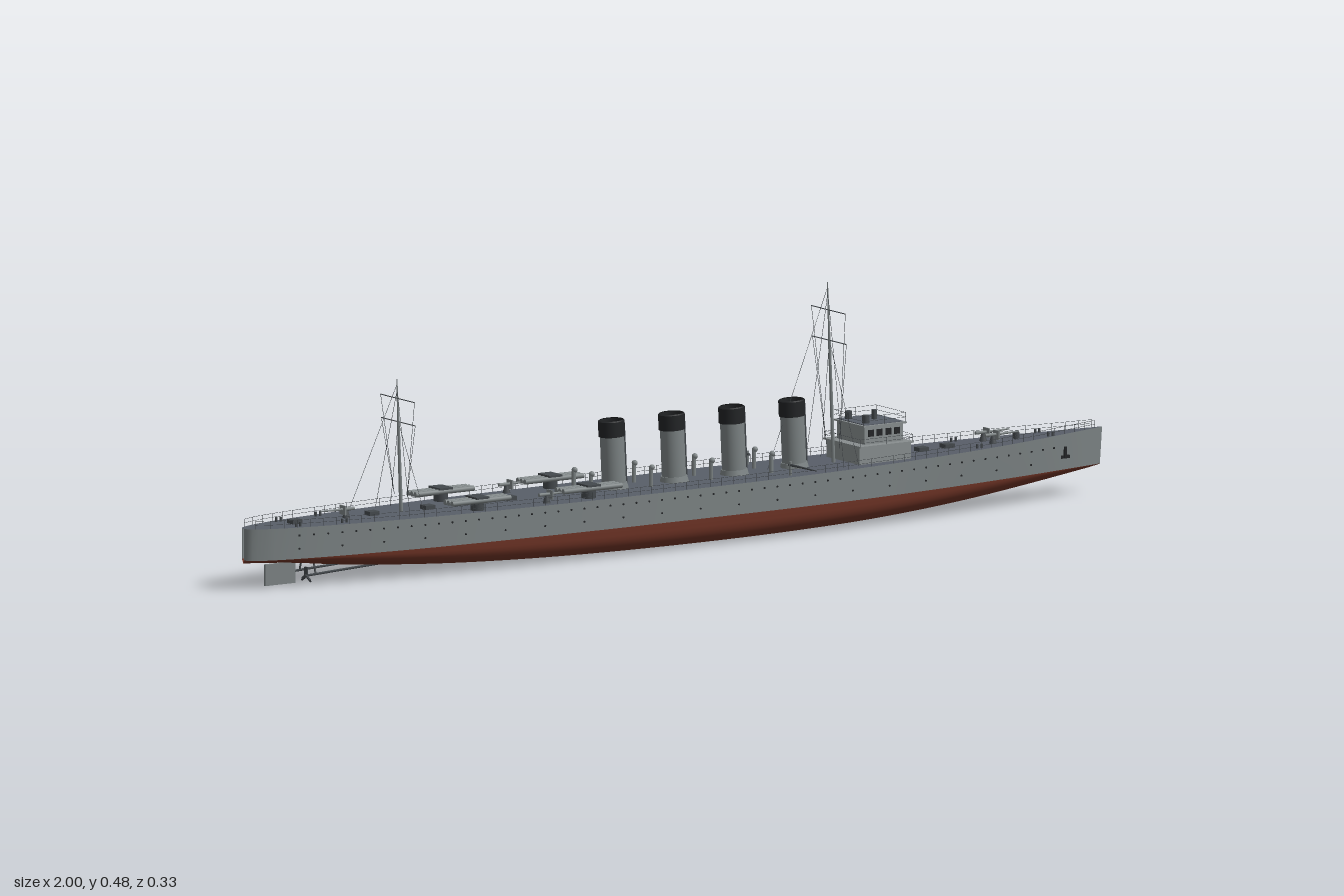
import * as THREE from 'three';
import { mergeGeometries } from 'three/addons/utils/BufferGeometryUtils.js';

const mat = (name, color, side = THREE.FrontSide) => {
  const m = new THREE.MeshStandardMaterial({ color, side });
  m.name = name;
  return m;
};

export function createModel() {
  const ship = new THREE.Group();
  ship.name = 'ship';
  const grey = mat('hullGrey', 0x7b8283, THREE.DoubleSide);
  const red = mat('bottomRed', 0x6e3325, THREE.DoubleSide);
  const deckMat = mat('deckGrey', 0x585e68, THREE.DoubleSide);
  const light = mat('upperGrey', 0x888e8f);
  const dark = mat('darkSteel', 0x44494d);
  const black = mat('black', 0x222426, THREE.DoubleSide);
  const V = (x, y, z) => new THREE.Vector3(x, y, z);

  const add = (name, geo, material, parent = ship) => {
    const m = new THREE.Mesh(Array.isArray(geo) ? mergeGeometries(geo) : geo, material);
    m.name = name;
    parent.add(m);
    return m;
  };
  const box = (w, h, d, x, y, z) => new THREE.BoxGeometry(w, h, d).translate(x, y, z);
  const cyl = (r, h, x, y, z, n = 12) => new THREE.CylinderGeometry(r, r, h, n).translate(x, y, z);
  // Round bar between two points, optionally tapered
  const rod = (a, b, r, r2 = r, n = 5) => {
    const d = b.clone().sub(a);
    const g = new THREE.CylinderGeometry(r2, r, d.length(), n);
    g.applyQuaternion(new THREE.Quaternion().setFromUnitVectors(V(0, 1, 0), d.normalize()));
    return g.translate((a.x + b.x) / 2, (a.y + b.y) / 2, (a.z + b.z) / 2);
  };

  // Hull lines along the length
  const curve = (pts) => {
    const c = new THREE.CubicInterpolant(pts.map(p => p[0]), pts.map(p => p[1]), 1, new Float32Array(1));
    return (x) => c.evaluate(x)[0];
  };
  const halfBeam = curve([[-1, 0.002], [-0.995, 0.012], [-0.98, 0.022], [-0.95, 0.034], [-0.9, 0.046], [-0.8, 0.062],
    [-0.6, 0.083], [-0.4, 0.093], [-0.2, 0.0975], [0, 0.0975], [0.2, 0.095], [0.4, 0.087], [0.6, 0.07], [0.8, 0.042], [0.9, 0.022], [1, 0.001]]);
  const keel = curve([[-1, 0.052], [-0.9, 0.045], [-0.8, 0.033], [-0.65, 0.02], [-0.5, 0.011], [-0.3, 0.004], [0, 0],
    [0.3, 0.002], [0.5, 0.008], [0.7, 0.021], [0.85, 0.037], [1, 0.057]]);
  const deckY = curve([[-1, 0.12], [-0.5, 0.118], [0, 0.118], [0.4, 0.12], [0.7, 0.124], [1, 0.13]]);
  const WL = 0.058;
  const flare = (x, y) => halfBeam(x) * (1 - 0.25 * Math.max(0, x - 0.4) * Math.max(0, (0.12 - y) / 0.06));

  const xs = [-1, -0.9975, -0.995, -0.99, -0.98, -0.965];
  for (let i = 0; i <= 56; i++) xs.push(-0.95 + 1.95 * i / 56);

  // Skin stretched over cross-sections given as [y, z] points
  const loft = (section) => {
    const pos = [], idx = [];
    let n = 0;
    xs.forEach((x, i) => {
      const ring = section(x);
      n = ring.length;
      ring.forEach(([y, z]) => pos.push(x - (x > 0.99 ? 0.07 * (0.13 - y) : 0), y, z));
      if (i) for (let j = 0; j < n - 1; j++) {
        const a = (i - 1) * n + j, b = i * n + j;
        idx.push(a, a + 1, b, b, a + 1, b + 1);
      }
    });
    const g = new THREE.BufferGeometry();
    g.setAttribute('position', new THREE.Float32BufferAttribute(pos, 3));
    g.setIndex(idx);
    g.computeVertexNormals();
    return g;
  };

  add('underwaterHull', loft(x => {
    const w = flare(x, WL), k = Math.min(keel(x), WL - 0.001), full = Math.min(1, halfBeam(x) / 0.0975);
    const e = 2 / (1.3 + 1.9 * full * full), ring = [];
    for (let j = 0; j <= 24; j++) {
      const a = Math.PI * j / 24, c = Math.cos(a);
      ring.push([WL - (WL - k) * Math.pow(Math.max(0, Math.sin(a)), e), w * Math.sign(c) * Math.pow(Math.abs(c), e)]);
    }
    return ring;
  }), red);
  const heights = [1, 0.5, 0];
  const sideAt = (x, t) => { const y = WL + (deckY(x) - WL) * t; return [y, flare(x, y)]; };
  add('portSide', loft(x => heights.map(t => sideAt(x, t))), grey);
  add('starboardSide', loft(x => heights.map(t => { const [y, w] = sideAt(x, t); return [y, -w]; }).reverse()), grey);
  add('deck', loft(x => [[deckY(x), -halfBeam(x)], [deckY(x), halfBeam(x)]]), deckMat);

  // Portholes and anchors
  const ports = [], anchors = [];
  for (const s of [-1, 1]) {
    for (let i = 0; i < 60; i++) {
      const x = -0.9 + i * 0.03;
      for (const y of i % 3 ? [0.104] : [0.104, 0.078])
        ports.push(new THREE.CylinderGeometry(0.002, 0.002, 0.003, 8).rotateX(Math.PI / 2).translate(x, y, s * flare(x, y)));
    }
    anchors.push(box(0.006, 0.022, 0.006, 0.9, 0.092, s * flare(0.9, 0.09)), box(0.02, 0.006, 0.006, 0.9, 0.083, s * flare(0.9, 0.08)));
  }
  add('portholes', ports, black);
  add('anchors', anchors, black);

  // Rudder, shafts and propellers
  add('rudder', box(0.07, 0.042, 0.006, -0.915, 0.024, 0), grey);
  const shafts = [], blades = [];
  for (const z of [-0.028, 0.028]) {
    shafts.push(rod(V(-0.875, 0.02, z), V(-0.7, 0.028, z), 0.0025), rod(V(-0.85, 0.021, z), V(-0.85, 0.048, z * 0.7), 0.002));
    for (let k = 0; k < 3; k++)
      blades.push(box(0.003, 0.016, 0.007, 0, 0.009, 0).rotateY(0.5).rotateX(k * 2.0944).translate(-0.872, 0.02, z));
  }
  add('shafts', shafts, dark);
  add('propellers', blades, dark);

  // Four raked funnels
  for (const x of [-0.14, 0, 0.14, 0.28]) {
    const f = new THREE.Group();
    f.name = 'funnel';
    f.position.set(x + 0.004, 0.117, 0);
    f.rotation.z = 0.05;
    const tube = (r1, r2, h, y, open = true) =>
      new THREE.CylinderGeometry(r2, r1, h, 24, 1, open).scale(1, 1, 0.93).translate(0, y, 0);
    add('funnelBase', tube(0.029, 0.026, 0.012, 0.006, false), grey, f);
    add('funnelBody', tube(0.024, 0.024, 0.106, 0.053), grey, f);
    add('funnelTop', [tube(0.0265, 0.0265, 0.03, 0.119), tube(0.0265, 0.024, 0.002, 0.135),
      tube(0.024, 0.024, 0.001, 0.11, false)], black, f);
    add('steamPipe', rod(V(0.028, 0, 0), V(0.028, 0.125, 0), 0.003), dark, f);
    ship.add(f);
  }

  // Bridge in two storeys with windows and a railed roof
  add('bridgeBase', [box(0.12, 0.036, 0.116, 0.457, 0.136, 0), box(0.125, 0.003, 0.13, 0.457, 0.155, 0)], light);
  add('bridgeHouse', [box(0.09, 0.036, 0.096, 0.46, 0.174, 0), box(0.1, 0.003, 0.108, 0.46, 0.1925, 0)], light);
  add('bridgeDeck', box(0.088, 0.002, 0.096, 0.46, 0.1945, 0), deckMat);
  const panes = [];
  for (let i = 0; i < 5; i++) {
    panes.push(box(0.003, 0.013, 0.013, 0.505, 0.178, (i - 2) * 0.0185));
    for (const s of [-1, 1]) if (i < 4) panes.push(box(0.013, 0.013, 0.003, 0.43 + i * 0.02, 0.178, s * 0.048));
  }
  add('bridgeWindows', panes, black);
  add('compassAndLights', [cyl(0.005, 0.02, 0.47, 0.204, 0), cyl(0.007, 0.016, 0.43, 0.203, 0.03), cyl(0.007, 0.016, 0.43, 0.203, -0.03)], dark);

  // Railings
  const rails = [];
  const fence = (pts, h) => pts.forEach((p, i) => {
    rails.push(rod(p, p.clone().setY(p.y + h), 0.0005, 0.0005, 4));
    if (i) for (const t of [0.5, 1])
      rails.push(rod(pts[i - 1].clone().setY(pts[i - 1].y + h * t), p.clone().setY(p.y + h * t), 0.0004, 0.0004, 3));
  });
  for (const s of [-1, 1]) {
    const edge = [];
    for (let i = 0; i <= 72; i++) {
      const x = -0.985 + i * 1.965 / 72;
      edge.push(V(x, deckY(x), s * halfBeam(x) * 0.97));
    }
    fence(edge, 0.015);
  }
  const square = (x, y, a, b) => [[-1, -1], [0, -1], [1, -1], [1, 0], [1, 1], [0, 1], [-1, 1], [-1, 0], [-1, -1]].map(([u, v]) => V(x + u * a, y, v * b));
  fence(square(0.46, 0.194, 0.049, 0.052), 0.018);
  fence(square(0.457, 0.156, 0.061, 0.063), 0.014);
  add('railings', rails, dark);

  // Masts with yards, shrouds and stays
  const mast = (name, x, rake, top, yards, stayX) => {
    const g = new THREE.Group();
    g.name = name;
    const at = y => V(x - rake * (y - 0.118) / (top - 0.118), y, 0);
    const mid = yards[1];
    add('pole', [rod(at(0.117), at(mid), 0.0038, 0.0028, 8), rod(at(mid), at(top), 0.0024, 0.001, 8)], grey, g);
    const spars = [], wires = [];
    const wire = (a, b) => wires.push(rod(a, b, 0.0005, 0.0005, 3));
    for (const y of yards) spars.push(rod(at(y).setZ(-0.059), at(y).setZ(0.059), 0.001));
    for (const s of [-1, 1]) {
      const foot = halfBeam(x) * 0.75 * s;
      wire(at(top - 0.02), V(x - 0.02, 0.12, foot));
      wire(at(mid), V(x + 0.015, 0.12, foot));
      for (const y of yards) wire(at(y).setZ(s * 0.059), at(0.15).setZ(s * 0.022));
    }
    wire(at(top - 0.01), V(stayX, 0.12, 0));
    add('yards', spars, dark, g);
    add('rigging', wires, dark, g);
    ship.add(g);
  };
  mast('foreMast', 0.375, 0.014, 0.475, [0.42, 0.36], 0.222);
  mast('aftMast', -0.632, 0.01, 0.38, [0.342, 0.296], -0.76);

  // Swinging booms
  add('booms', [-1, 1].map(s => rod(V(0.225, 0.139, s * 0.07), V(0.225, 0.14, s * 0.166), 0.003, 0.001, 6)), dark);
  add('boomPosts', [-1, 1].map(s => cyl(0.003, 0.03, 0.225, 0.131, s * 0.075)), grey);

  // Triple tube mounts along both sides
  for (const s of [-1, 1]) for (const [x, z] of [[-0.497, 0.064], [-0.24, 0.067]]) {
    const tubes = [];
    for (const k of [-1, 0, 1])
      tubes.push(rod(V(x - 0.068, 0.138, s * z + k * 0.0125), V(x + 0.068, 0.138, s * z + k * 0.0125), 0.0052, 0.0052, 10));
    add('tubeMount', tubes, grey);
    add('tubeBase', [cyl(0.014, 0.016, x, 0.126, s * z), box(0.03, 0.004, 0.04, x, 0.144, s * z)], dark);
  }

  // Deck guns: pedestal, breech, shield and barrel, pointing along dir
  const gun = (x, z, dir) => {
    const y = deckY(x), g = new THREE.Group();
    g.name = 'deckGun';
    g.position.set(x, y, z);
    g.rotation.y = dir > 0 ? 0 : Math.PI;
    add('pedestal', new THREE.CylinderGeometry(0.004, 0.008, 0.014, 10).translate(0, 0.007, 0), dark, g);
    add('barrel', [rod(V(-0.018, 0.017, 0), V(0.012, 0.017, 0), 0.0035, 0.003, 8), rod(V(0.012, 0.017, 0), V(0.06, 0.018, 0), 0.0024, 0.0016, 8)], grey, g);
    add('shield', box(0.003, 0.018, 0.02, 0.008, 0.016, 0), grey, g);
    ship.add(g);
  };
  [[0.735, 0.017, 1], [0.735, -0.017, 1], [-0.76, 0, -1], [-0.34, 0.07, 1], [-0.34, -0.07, 1]].forEach(a => gun(...a));

  // Hatches, ventilators and mooring gear
  const hatches = [], vents = [], bollards = [];
  for (const x of [-0.88, -0.7, -0.57, -0.38, 0.58, 0.64]) hatches.push(box(0.022, 0.008, 0.02, x, deckY(x) + 0.004, 0));
  for (const x of [-0.21, -0.07, 0.07, 0.21]) for (const s of [-1, 1]) {
    vents.push(cyl(0.004, 0.036, x, 0.136, s * 0.03, 8));
    vents.push(new THREE.SphereGeometry(0.006, 8, 6).translate(x + 0.002, 0.156, s * 0.03));
  }
  for (const x of [-0.9, -0.8, 0.68, 0.86]) for (const s of [-1, 1]) for (const d of [0, 0.01])
    bollards.push(cyl(0.0025, 0.009, x + d, deckY(x) + 0.004, s * halfBeam(x) * 0.75, 8));
  bollards.push(cyl(0.007, 0.012, 0.8, deckY(0.8) + 0.006, 0));
  add('hatches', hatches, dark);
  add('ventilators', vents, grey);
  add('bollards', bollards, dark);

  return ship;
}
